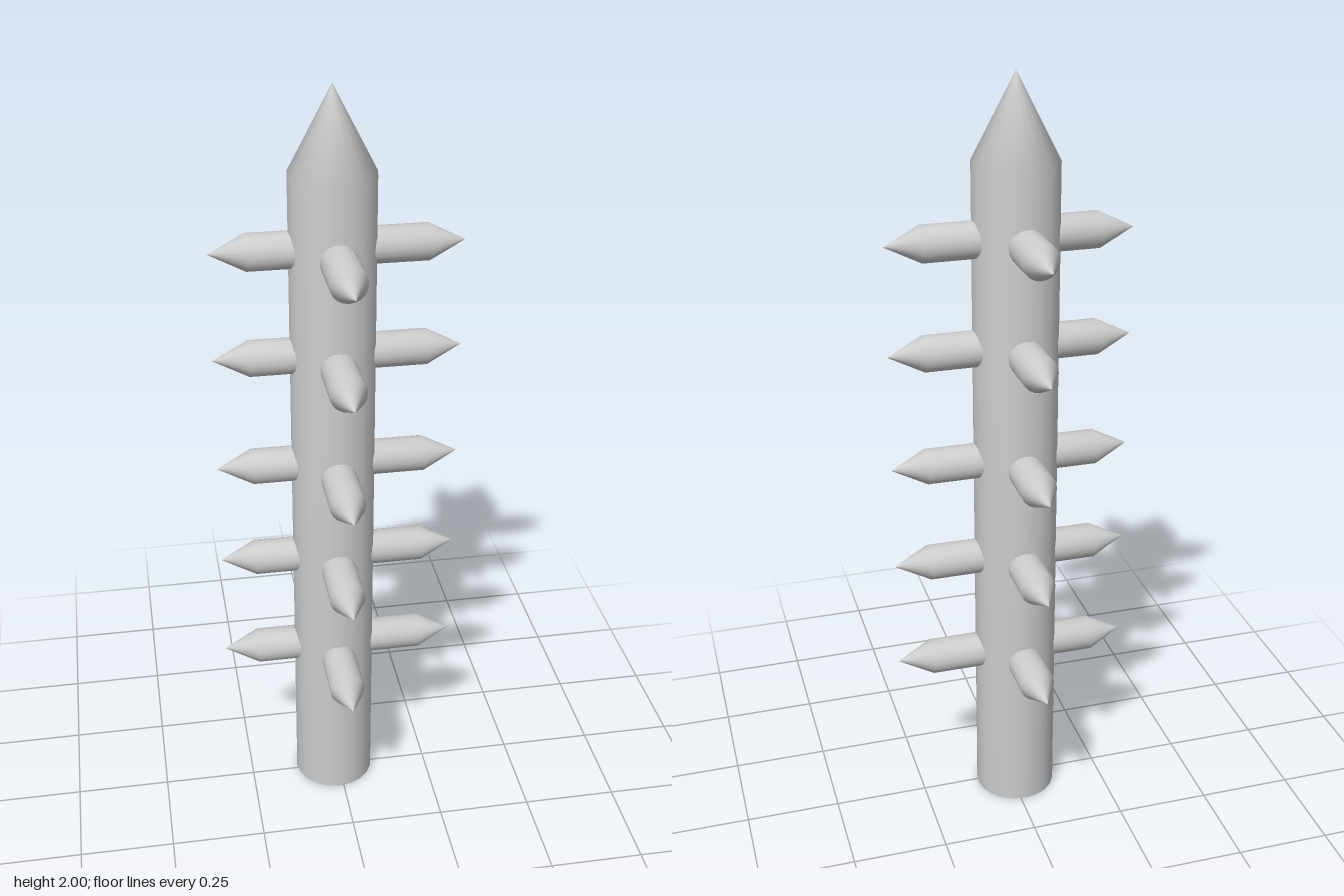
import * as THREE from 'three';

const SIDES = 20;
const CENTRE = -0.0125; // the post stands slightly off the origin in x and z

// Round bar with a conical point, smooth across the shoulder, along +y
function pointedBar(radius, shoulder, tip) {
  const profile = [[radius, 0], [radius, shoulder], [0, tip]];
  return new THREE.LatheGeometry(profile.map(([r, y]) => new THREE.Vector2(r, y)), SIDES);
}

export function createModel() {
  const model = new THREE.Group();
  model.name = 'spikedPost';
  const material = new THREE.MeshStandardMaterial({ color: 0xcccccc });

  // Main post
  const post = new THREE.Mesh(pointedBar(0.108, 1.79, 2), material);
  post.name = 'post';
  post.position.set(CENTRE, 0, CENTRE);
  model.add(post);

  // Flat underside
  const base = new THREE.Mesh(new THREE.CircleGeometry(0.108, SIDES), material);
  base.name = 'postBase';
  base.rotation.x = Math.PI / 2;
  base.position.set(CENTRE, 0, CENTRE);
  model.add(base);

  // Five rings of four spikes, starting inside the post;
  // each tip ends at the same distance from the origin
  const up = new THREE.Vector3(0, 1, 0);
  const directions = { left: [1, 0, 0], right: [-1, 0, 0], front: [0, 0, 1], back: [0, 0, -1] };
  const spikes = Object.entries(directions).map(([side, d]) => {
    const direction = new THREE.Vector3(...d);
    const offset = CENTRE * (d[0] + d[2]);
    return { side, direction, geometry: pointedBar(0.046, 0.223 - offset, 0.314 - offset) };
  });

  [0.448, 0.74, 1.019, 1.326, 1.605].forEach((y, i) => {
    const ring = new THREE.Group();
    ring.name = `spikeRing${i + 1}`;
    ring.position.set(CENTRE, y, CENTRE);
    for (const { side, direction, geometry } of spikes) {
      const spike = new THREE.Mesh(geometry, material);
      spike.name = `${side}Spike`;
      spike.quaternion.setFromUnitVectors(up, direction);
      ring.add(spike);
    }
    model.add(ring);
  });

  return model;
}
